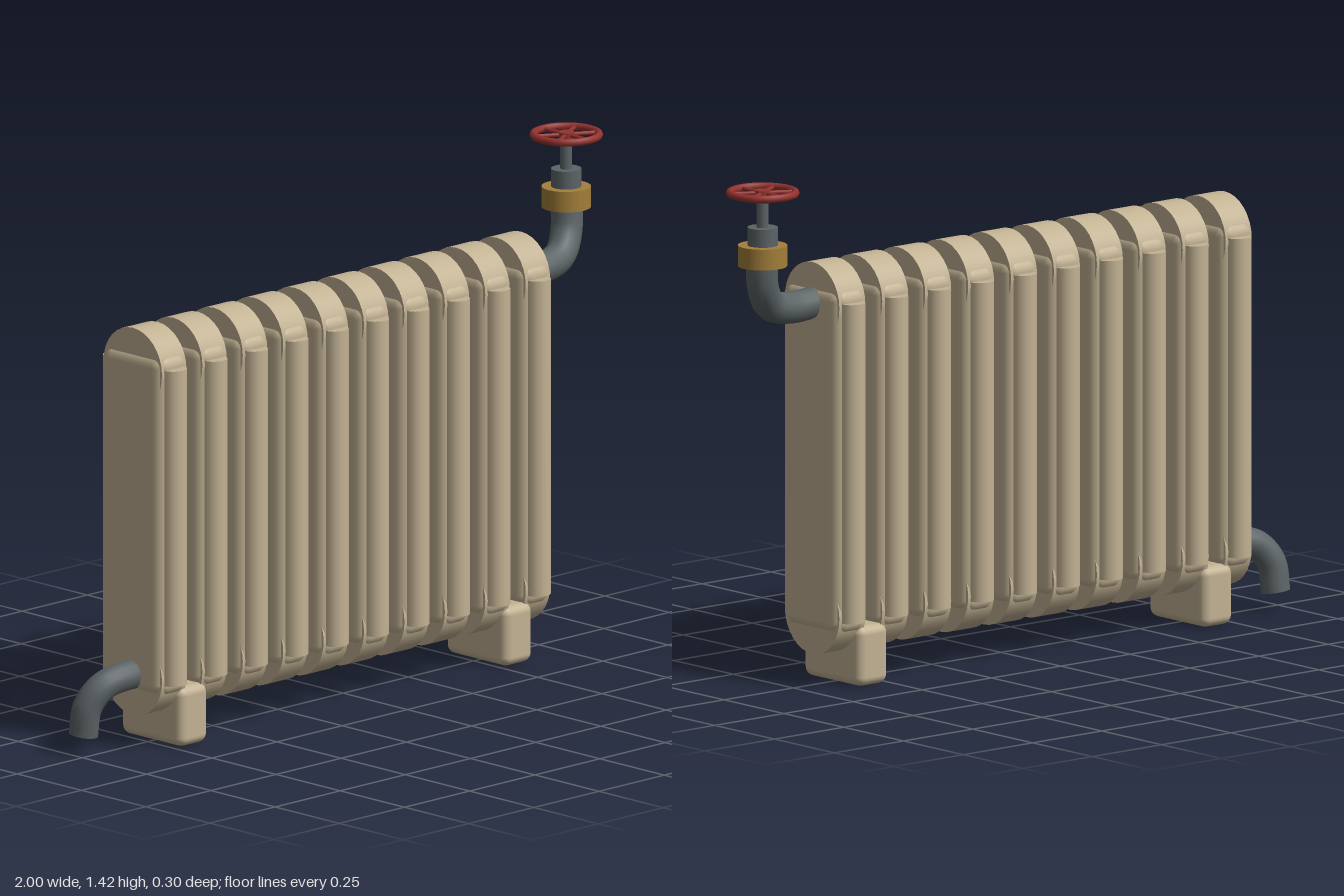
import * as THREE from 'three';
import { RoundedBoxGeometry } from 'three/addons/geometries/RoundedBoxGeometry.js';

const mat = (name, color) => {
  const m = new THREE.MeshStandardMaterial({ color });
  m.name = name;
  return m;
};

export function createModel() {
  const cream = mat('creamEnamel', 0xc3b394);
  const steel = mat('greySteel', 0x5c6466);
  const brass = mat('brass', 0xa37f3a);
  const red = mat('redPaint', 0x94322f);

  const root = new THREE.Group();
  root.name = 'radiator';
  const group = (name, parent = root) => {
    const g = new THREE.Group();
    g.name = name;
    parent.add(g);
    return g;
  };
  const add = (parent, name, geometry, material, x = 0, y = 0, z = 0) => {
    const m = new THREE.Mesh(geometry, material);
    m.name = name;
    m.position.set(x, y, z);
    parent.add(m);
    return m;
  };

  // Ten identical column sections: core, rounded ends, front and back tubes
  const core = new RoundedBoxGeometry(0.112, 0.965, 0.236, 3, 0.036);
  const drum = new THREE.CylinderGeometry(0.114, 0.114, 0.094, 32).rotateZ(Math.PI / 2);
  const tube = new THREE.CylinderGeometry(0.038, 0.038, 0.89, 16);
  for (let i = 0; i < 10; i++) {
    const section = group('section' + (i + 1));
    section.position.x = -0.76 + i * 0.155;
    add(section, 'core', core, cream, 0, 0.637, 0);
    add(section, 'topEnd', drum, cream, 0, 1.069, 0);
    add(section, 'bottomEnd', drum, cream, 0, 0.204, 0);
    add(section, 'frontTube', tube, cream, 0, 0.635, 0.11);
    add(section, 'backTube', tube, cream, 0, 0.635, -0.11);
  }

  // Feet under the second gap from each end
  const foot = new RoundedBoxGeometry(0.11, 0.168, 0.24, 3, 0.025);
  add(root, 'rightFoot', foot, cream, -0.685, 0.088, 0);
  add(root, 'leftFoot', foot, cream, 0.56, 0.088, 0);

  // Bent pipes with closed ends
  const pipe = (name, points, radius) => {
    const g = group(name);
    const curve = new THREE.CatmullRomCurve3(points.map((p) => new THREE.Vector3(...p)));
    add(g, 'bend', new THREE.TubeGeometry(curve, 24, radius, 14), steel);
    for (const t of [0, 1]) {
      const cap = add(g, 'pipeEnd', new THREE.CircleGeometry(radius, 14), steel);
      const dir = curve.getTangentAt(t).multiplyScalar(t ? 1 : -1);
      cap.position.copy(curve.getPointAt(t));
      cap.quaternion.setFromUnitVectors(new THREE.Vector3(0, 0, 1), dir);
    }
  };
  pipe('inletPipe', [[0.66, 1.072, 0], [0.76, 1.066, 0], [0.84, 1.085, -0.01],
    [0.886, 1.145, -0.03], [0.897, 1.235, -0.042]], 0.044);
  pipe('outletPipe', [[-0.74, 0.203, 0], [-0.84, 0.205, 0], [-0.91, 0.187, -0.012],
    [-0.95, 0.135, -0.03], [-0.957, 0.055, -0.04]], 0.041);

  // Valve: brass nut, neck, stem and spoked hand wheel
  const valve = group('valve');
  valve.position.set(0.897, 0, -0.042);
  add(valve, 'nut', new THREE.CylinderGeometry(0.068, 0.068, 0.058, 24), brass, 0, 1.236, 0);
  add(valve, 'neck', new THREE.CylinderGeometry(0.042, 0.042, 0.06, 16), steel, 0, 1.285, 0);
  add(valve, 'stem', new THREE.CylinderGeometry(0.017, 0.017, 0.11, 12), steel, 0, 1.355, 0);
  const wheel = group('handWheel', valve);
  wheel.position.y = 1.41;
  add(wheel, 'rim', new THREE.TorusGeometry(0.09, 0.011, 8, 32).rotateX(Math.PI / 2), red);
  add(wheel, 'hub', new THREE.CylinderGeometry(0.022, 0.022, 0.016, 16), red);
  const spoke = new THREE.CylinderGeometry(0.006, 0.006, 0.18, 8).rotateX(Math.PI / 2);
  for (let i = 0; i < 3; i++) {
    add(wheel, 'spokePair', spoke, red).rotation.y = (i * Math.PI) / 3;
  }

  return root;
}
